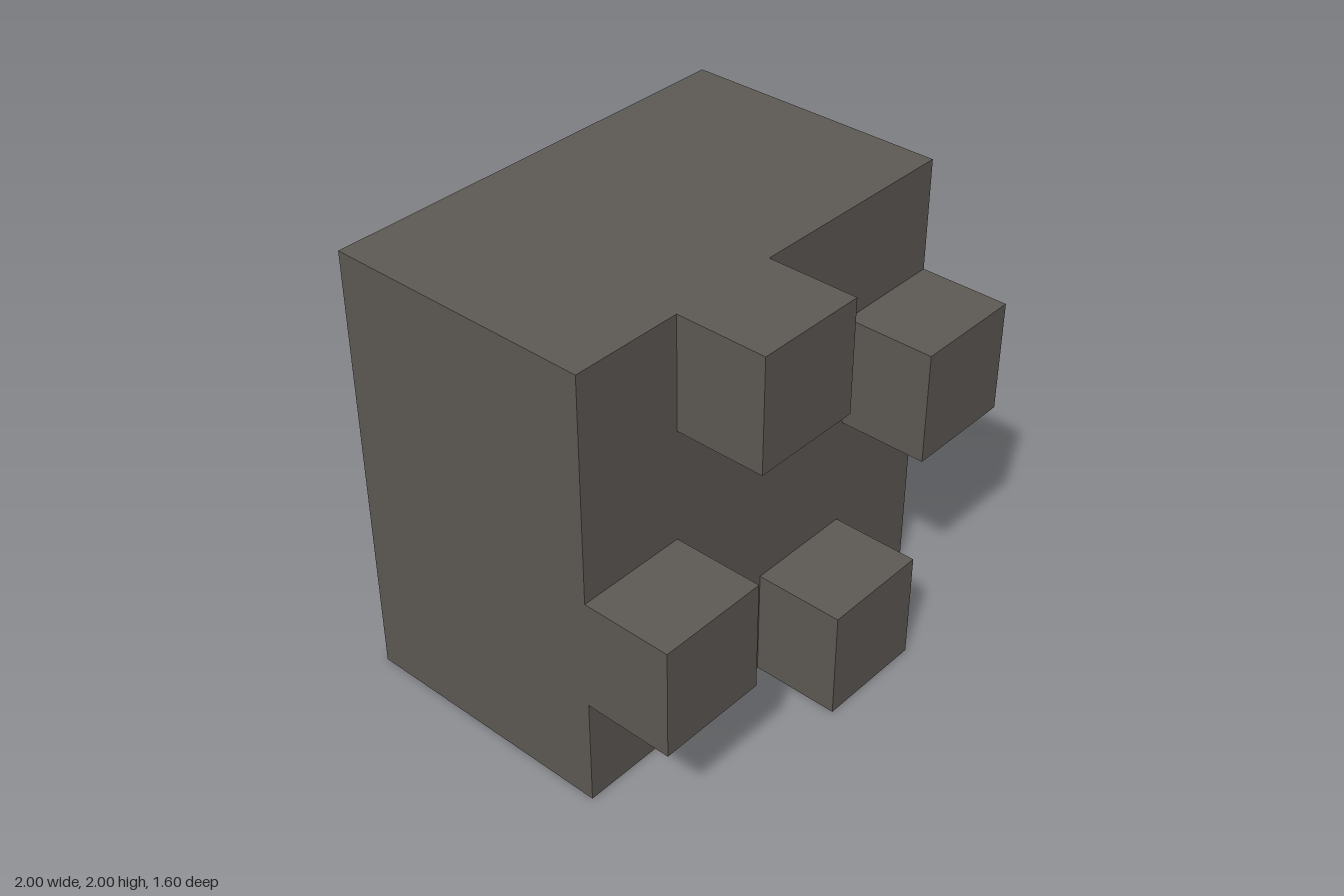
import * as THREE from 'three';

export function createModel() {
  const group = new THREE.Group();
  group.name = 'studdedBlock';
  const stone = new THREE.MeshStandardMaterial({ color: 0x5e5a55 });
  stone.name = 'darkStone';

  const addBox = (name, size, position) => {
    const mesh = new THREE.Mesh(new THREE.BoxGeometry(...size), stone);
    mesh.name = name;
    mesh.position.set(...position);
    group.add(mesh);
  };

  // Main block, with its front face at z = 0.4
  addBox('mainBlock', [2, 2, 1.2], [0, 1, -0.2]);

  // Four studs in a pinwheel, each flush with one edge of the front face
  const studs = {
    topStud: [-0.25, 1.75],
    leftStud: [0.75, 1.25],
    bottomStud: [0.25, 0.25],
    rightStud: [-0.75, 0.75],
  };
  for (const [name, [x, y]] of Object.entries(studs)) {
    addBox(name, [0.5, 0.5, 0.4], [x, y, 0.6]);
  }
  return group;
}
